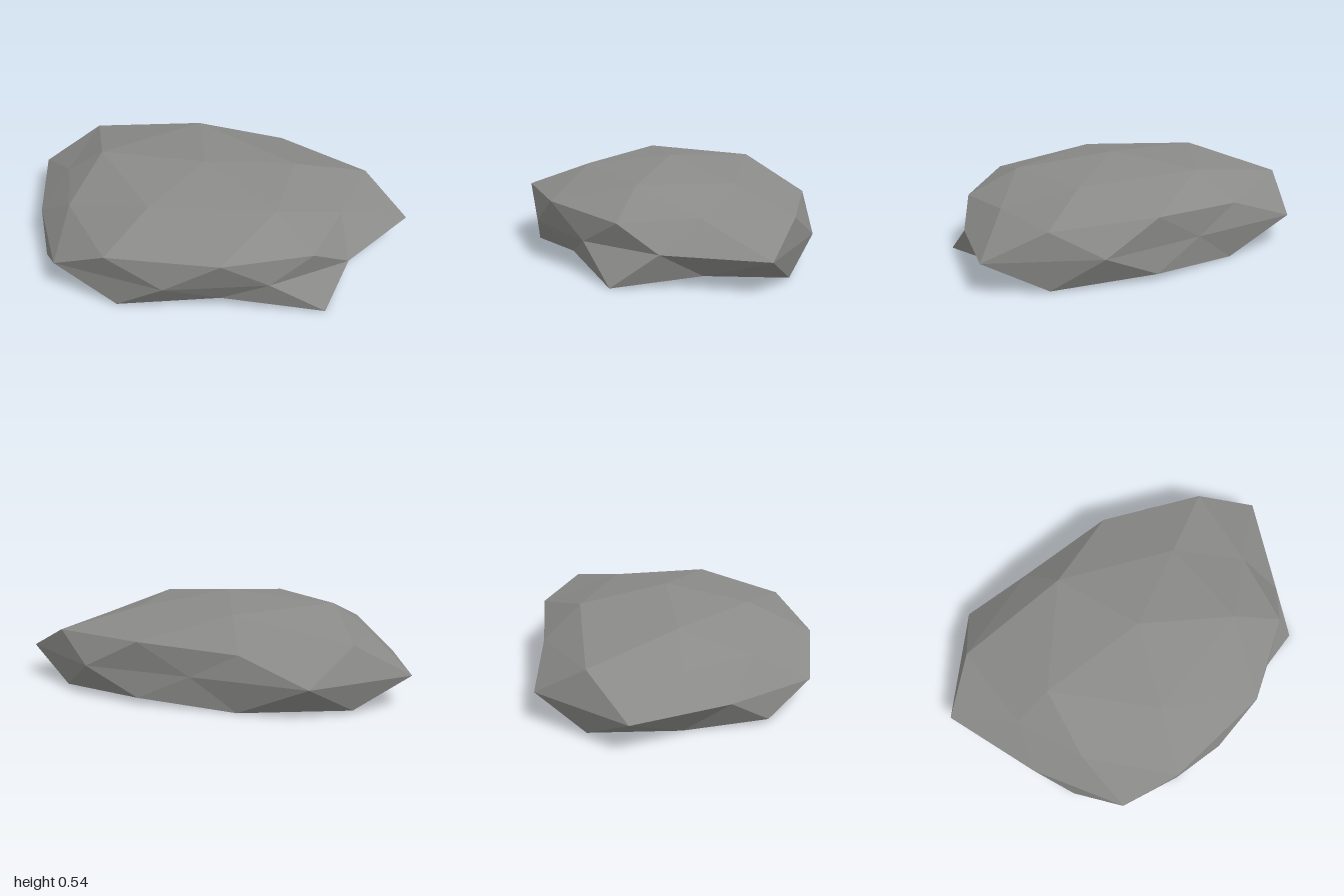
import * as THREE from 'three';

// Rings of [x, y, z], running from the right side round the front to the left and back.
const equator = [[-1, 0.13], [-0.57, 0.62], [-0.04, 0.84], [0.46, 0.84], [1, 0.63],
  [0.88, 0], [0.45, -0.47], [0, -0.975], [-0.65, -0.945], [-0.88, -0.41]].map(([x, z]) => [x, 0.18, z]);

const shoulder = [[-0.81, 0.335, 0.41], [-0.31, 0.355, 0.79], [0.21, 0.315, 0.87], [0.55, 0.34, 0.61],
  [0.93, 0.335, 0.29], [0.67, 0.35, -0.26], [0.25, 0.32, -0.66], [-0.31, 0.37, -0.895],
  [-0.65, 0.335, -0.53], [-0.8, 0.35, -0.13]];

const crown = [[-0.48, 0.47, 0.26], [0.13, 0.46, 0.6], [0.49, 0.45, 0.19], [0.18, 0.49, -0.44], [-0.49, 0.49, -0.38]];
const peak = [-0.03, 0.535, 0.06];

const foot = [[-0.75, 0.005, 0.41], [-0.25, 0.06, 0.68], [0.24, 0, 0.97], [0.6, 0.05, 0.65],
  [0.9, 0.005, 0.29], [0.67, 0.035, -0.255], [0.25, 0, -0.64], [-0.31, 0.015, -0.9],
  [-0.65, 0, -0.53], [-0.945, 0.03, -0.17]];

// The underside is flat: its inner ring lies inside the raised foot corners.
const base = [1, 3, 5, 7, 9].map((i) => [foot[i][0] * 0.588, 0, foot[i][2] * 0.588]);

// Facets of one half: outer ring of 10, inner ring of 10, ring of 5, then a pole.
function halfFacets(outer, ring, inner, pole, first, flip) {
  const points = [];
  const tri = (a, b, c) => points.push(...a, ...(flip ? c : b), ...(flip ? b : c));
  for (let i = 0; i < 10; i++) {
    const j = (i + 1) % 10;
    tri(outer[i], outer[j], ring[i]);
    tri(ring[i], outer[j], ring[j]);
  }
  for (let k = 0; k < 5; k++) {
    const i = 2 * k + first;
    const a = ring[i], b = ring[(i + 1) % 10], c = ring[(i + 2) % 10];
    const p = inner[k], q = inner[(k + 1) % 5];
    tri(a, b, p);
    tri(p, b, q);
    tri(b, c, q);
    tri(p, q, pole);
  }
  const geometry = new THREE.BufferGeometry();
  geometry.setAttribute('position', new THREE.Float32BufferAttribute(points, 3));
  geometry.computeVertexNormals();
  return geometry;
}

export function createModel() {
  const stone = new THREE.MeshStandardMaterial({ color: 0x8a8a88, flatShading: true });
  stone.name = 'stone grey';

  const rock = new THREE.Group();
  rock.name = 'rock';

  // Domed top
  const top = new THREE.Mesh(halfFacets(equator, shoulder, crown, peak, 0, false), stone);
  top.name = 'rockTop';

  // Undercut sides and flat underside
  const underside = new THREE.Mesh(halfFacets(equator, foot, base, [0, 0, 0], 1, true), stone);
  underside.name = 'rockUnderside';

  rock.add(top, underside);
  return rock;
}
